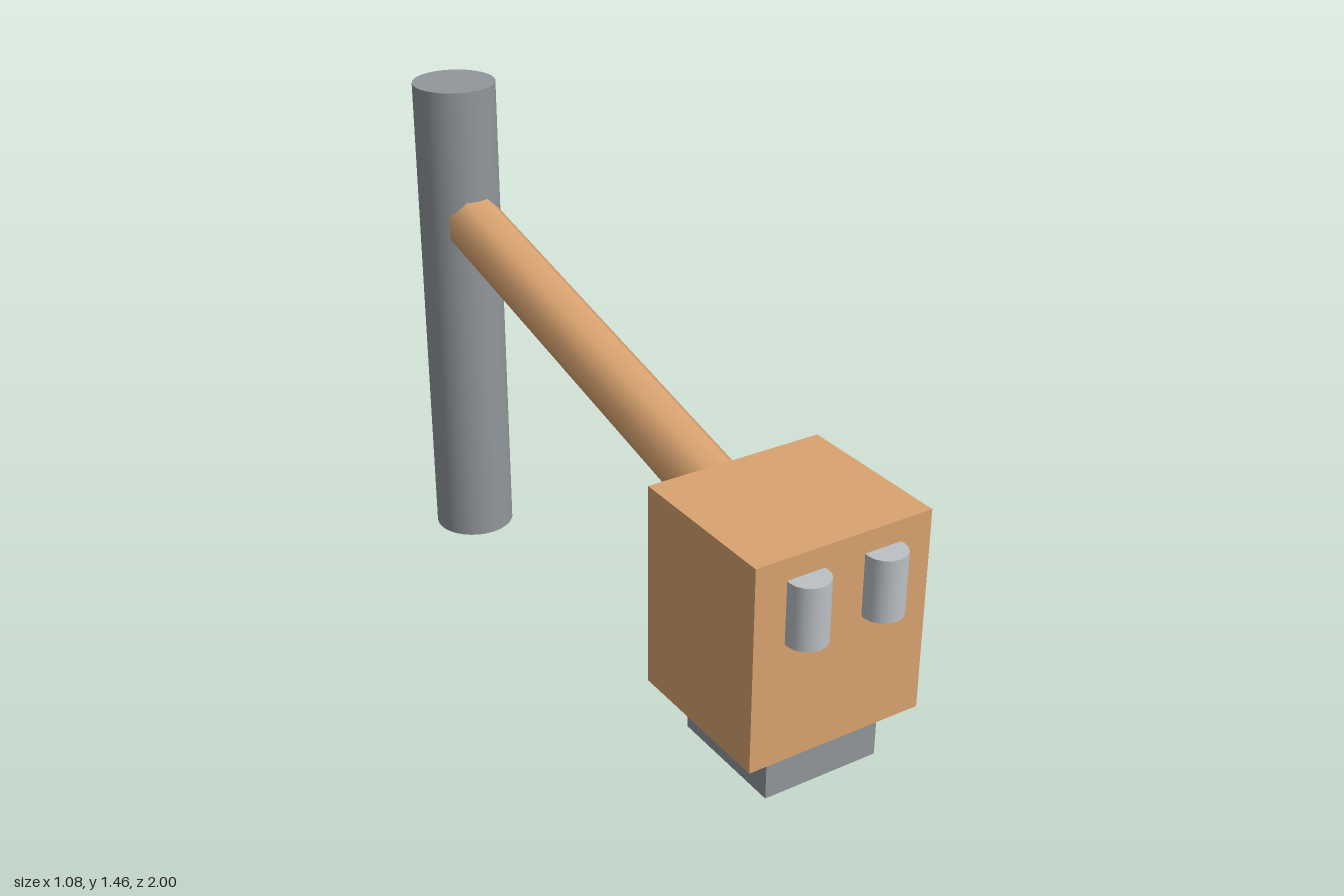
import * as THREE from 'three';

export function createModel() {
  const root = new THREE.Group();
  const wood = new THREE.MeshStandardMaterial({ name: 'tan', color: 0xd9a370 });
  const grey = new THREE.MeshStandardMaterial({ name: 'grey', color: 0x92979b });
  const pale = new THREE.MeshStandardMaterial({ name: 'pale grey', color: 0xbcc1c5 });

  const add = (parent, name, geometry, material, x, y, z) => {
    const mesh = new THREE.Mesh(geometry, material);
    mesh.name = name;
    mesh.position.set(x, y, z);
    parent.add(mesh);
    return mesh;
  };

  // Upright pole
  add(root, 'pole', new THREE.CylinderGeometry(0.122, 0.122, 1.463, 32), grey, -0.42, 0.7315, -0.878);

  // Slanting arm from inside the pole down to the back of the housing
  const start = new THREE.Vector3(-0.41, 1.068, -0.855);
  const end = new THREE.Vector3(0.123, 0.737, 0.452);
  const mid = start.clone().add(end).multiplyScalar(0.5);
  const arm = add(root, 'arm', new THREE.CylinderGeometry(0.088, 0.088, start.distanceTo(end), 8),
    wood, mid.x, mid.y, mid.z);
  arm.quaternion.setFromUnitVectors(new THREE.Vector3(0, 1, 0), end.clone().sub(start).normalize());

  // Housing with its base and two front lamps, turned in line with the arm
  const head = new THREE.Group();
  head.name = 'head';
  head.position.set(0.22, 0, 0.683);
  head.rotation.y = 0.387;
  root.add(head);
  add(head, 'housing', new THREE.BoxGeometry(0.505, 0.563, 0.448), wood, 0, 0.5935, 0);
  add(head, 'base', new THREE.BoxGeometry(0.335, 0.16, 0.345), grey, 0, 0.25, 0.004);
  for (const side of [-1, 1]) {
    add(head, side < 0 ? 'rightLamp' : 'leftLamp',
      new THREE.CylinderGeometry(0.055, 0.055, 0.17, 16), pale, side * 0.111, 0.731, 0.234);
  }
  return root;
}
